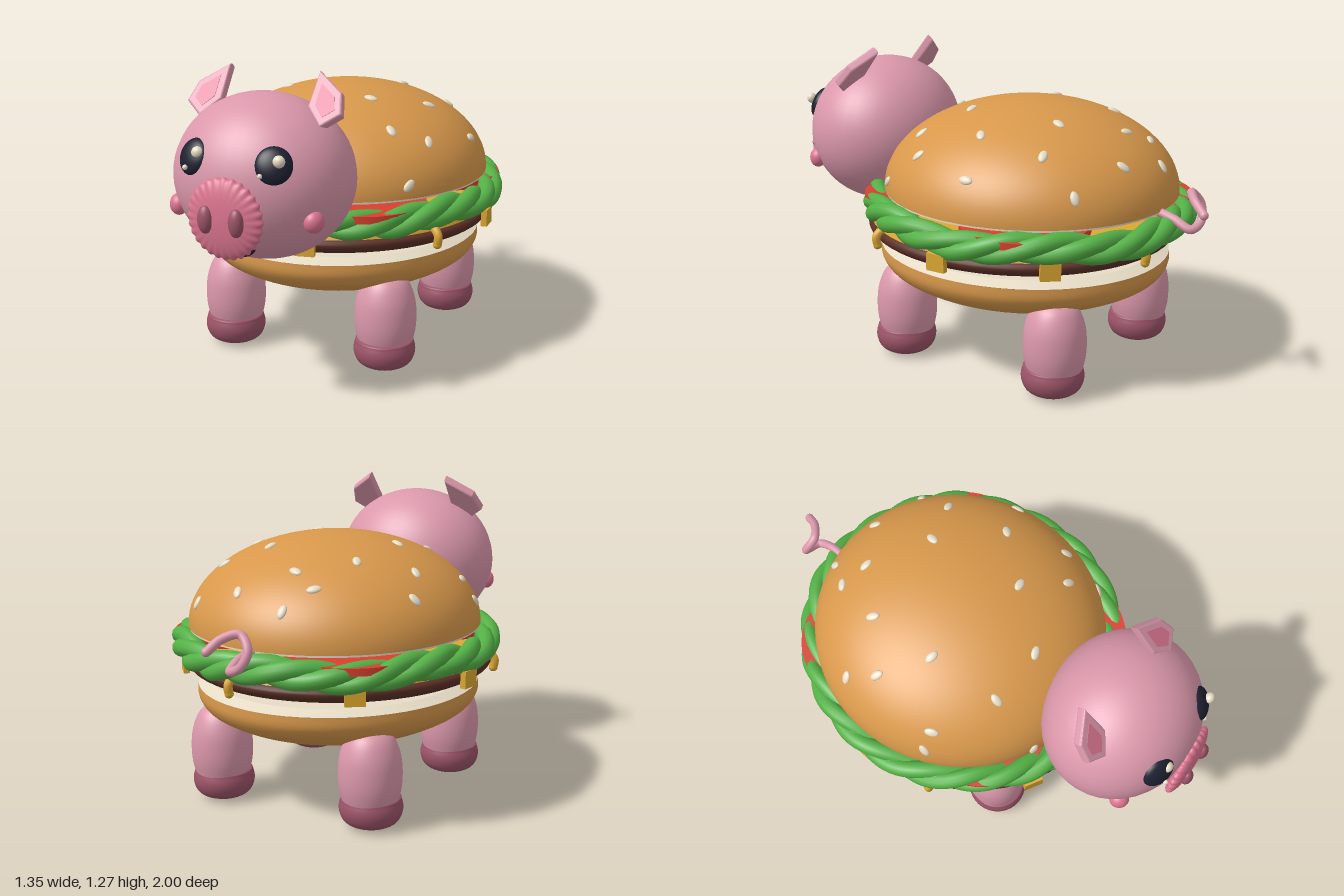
import * as THREE from 'three';

const mat = (name, color) => Object.assign(new THREE.MeshStandardMaterial({ color }), { name });

export function createModel() {
  const model = new THREE.Group();
  model.name = 'burgerPig';
  const pink = mat('skinPink', 0xdb98ab), rose = mat('rosePink', 0xdc7590), hoofM = mat('hoofMauve', 0x9c5468);
  const bunM = mat('bunBrown', 0xd8984b), cream = mat('cream', 0xe6dcc6), pattyM = mat('pattyBrown', 0x5c3026);
  const cheeseM = mat('cheeseYellow', 0xdca632), green = mat('lettuceGreen', 0x54b046);
  const red = mat('tomatoRed', 0xd8402f), black = mat('eyeBlack', 0x1d2030);

  const add = (name, geo, m, x = 0, y = 0, z = 0, parent = model) => {
    const mesh = new THREE.Mesh(geo, m);
    mesh.name = name;
    mesh.position.set(x, y, z);
    parent.add(mesh);
    return mesh;
  };
  const sphere = new THREE.SphereGeometry(1, 40, 28);
  const ball = (name, m, x, y, z, rx, ry, rz) => {
    const b = add(name, sphere, m, x, y, z);
    b.scale.set(rx, ry, rz);
    return b;
  };
  // Smooth revolved shape from [radius, height] pairs, listed bottom to top
  const lathe = (pairs) => {
    const curve = new THREE.SplineCurve(pairs.map(([r, y]) => new THREE.Vector2(r, y)));
    const pts = curve.getPoints(28).map((p) => new THREE.Vector2(Math.max(p.x, 0), p.y));
    return new THREE.LatheGeometry(pts, 64);
  };

  // Top bun with its cut face
  const bun = { y: 0.735, z: -0.155, rx: 0.6, ry: 0.37, rz: 0.625 };
  const dome = add('topBun', new THREE.SphereGeometry(1, 64, 24, 0, Math.PI * 2, 0, Math.PI / 2), bunM, 0, bun.y, bun.z);
  dome.scale.set(bun.rx, bun.ry, bun.rz);
  const cut = add('topBunCutFace', new THREE.CylinderGeometry(0.597, 0.597, 0.008, 64), cream, 0, 0.731, bun.z);
  cut.scale.z = bun.rz / bun.rx;

  // Sesame seeds lying on the dome, as x, z pairs
  const seeds = [
    [-0.09, -0.72], [-0.17, -0.62], [-0.06, -0.57], [0.14, -0.67], [0.38, -0.6], [-0.48, -0.39], [-0.24, -0.41],
    [0.165, -0.39], [0.355, -0.44], [-0.425, -0.27], [0.54, -0.21], [0.37, -0.16], [-0.265, -0.11], [-0.49, 0.03],
    [-0.55, 0.03], [0.18, 0.02], [0.46, 0.08], [-0.26, 0.19], [-0.02, 0.22], [0.33, 0.165], [0.445, 0.255], [-0.29, 0.39],
  ];
  const seedGeo = new THREE.SphereGeometry(1, 14, 10).scale(0.018, 0.011, 0.03);
  const up = new THREE.Vector3(0, 1, 0);
  seeds.forEach(([x, z], i) => {
    const u = x / bun.rx, w = (z - bun.z) / bun.rz;
    const v = Math.sqrt(Math.max(0, 1 - u * u - w * w));
    const seed = add('sesameSeed', seedGeo, cream, x, bun.y + v * bun.ry, z);
    const normal = new THREE.Vector3(u / bun.rx, v / bun.ry, w / bun.rz).normalize();
    seed.quaternion.setFromUnitVectors(up, normal);
    seed.rotateY(i * 2.2);
  });

  // Bottom bun with its cut face
  const bottom = add('bottomBun', lathe([[0, 0.262], [0.22, 0.274], [0.4, 0.312], [0.53, 0.375], [0.575, 0.43], [0.578, 0.485]]), bunM, 0, 0, -0.12);
  bottom.scale.z = 1.085;
  const base = add('bottomBunCutFace', new THREE.CylinderGeometry(0.53, 0.577, 0.02, 64), cream, 0, 0.495, -0.12);
  base.scale.z = 1.085;

  // Patty
  const patty = add('patty', lathe([[0, 0.51], [0.42, 0.512], [0.58, 0.537], [0.632, 0.573], [0.6, 0.606], [0.4, 0.61], [0, 0.61]]), pattyM, 0, 0, -0.11);
  patty.scale.z = 1.045;

  // Cheese sheet with drips folding over the patty edge
  const cheese = add('cheeseSheet', new THREE.CylinderGeometry(0.61, 0.62, 0.022, 64), cheeseM, 0, 0.614, -0.11);
  cheese.scale.z = 1.05;
  [-0.61, 0.2, 1.05, 1.62, 2.3, 2.95, 3.75, 4.55, 5.0].forEach((a, i) => {
    const path = new THREE.CatmullRomCurve3([[0.56, 0.615], [0.62, 0.612], [0.647, 0.585], [0.643, 0.55]].map(
      ([r, y]) => new THREE.Vector3(r * Math.sin(a), y, -0.11 + r * 1.045 * Math.cos(a))));
    if (i % 3 === 2) {
      add('cheeseDrip', new THREE.TubeGeometry(path, 14, 0.018, 10), cheeseM);
      const end = path.getPoint(1);
      ball('cheeseDripTip', cheeseM, end.x, end.y, end.z, 0.018, 0.018, 0.018);
    } else {
      const flap = add('cheeseFlap', new THREE.BoxGeometry(0.08, 0.07, 0.025), cheeseM,
        0.643 * Math.sin(a), 0.578, -0.11 + 0.672 * Math.cos(a));
      flap.rotation.y = a;
    }
  });

  // Lettuce ring of three twisted strands around a core
  const ring = (wind, phase, radius) => {
    const pts = [];
    for (let i = 0; i < 120; i++) {
      const a = (i / 120) * Math.PI * 2, t = a * 7 + phase;
      const off = wind * Math.cos(t);
      pts.push(new THREE.Vector3((0.612 + off) * Math.sin(a),
        0.662 + 0.01 * Math.sin(a * 6 + 1) + wind * Math.sin(t), -0.143 + (0.652 + off) * Math.cos(a)));
    }
    return new THREE.TubeGeometry(new THREE.CatmullRomCurve3(pts, true), 240, radius, 12, true);
  };
  add('lettuceCore', ring(0, 0, 0.042), green);
  for (let k = 0; k < 3; k++) add('lettuceStrand', ring(0.028, (k * Math.PI * 2) / 3, 0.036), green);

  // Tomato slices peeking through the lettuce
  [[-0.5, 0.49], [0.38, 0.6], [-0.4, -0.54], [0.59, -0.36]].forEach(([dx, dz]) => {
    const s = 0.66 / Math.hypot(dx, dz * 0.93) - 0.26 / Math.hypot(dx, dz);
    add('tomatoSlice', new THREE.CylinderGeometry(0.26, 0.26, 0.03, 40), red, dx * s, 0.687, -0.143 + dz * s);
  });

  // Legs and hooves
  const legGeo = lathe([[0.108, 0.1], [0.124, 0.17], [0.127, 0.24], [0.118, 0.31], [0.09, 0.375], [0.045, 0.408], [0, 0.415]]);
  const hoofGeo = lathe([[0, 0.004], [0.06, 0.008], [0.108, 0.032], [0.127, 0.075], [0.122, 0.115], [0.105, 0.131], [0, 0.131]]);
  for (const x of [-0.348, 0.348]) {
    for (const [z, end] of [[0.247, 'front'], [-0.5, 'back']]) {
      add(end + 'Leg', legGeo, pink, x, 0, z);
      add(end + 'Hoof', hoofGeo, hoofM, x, 0, z + 0.008);
    }
  }

  // Head
  ball('head', pink, 0, 0.875, 0.625, 0.358, 0.32, 0.315);

  // Snout with a fluted rim
  const snoutGeo = new THREE.SphereGeometry(1, 168, 32).rotateX(Math.PI / 2);
  const p = snoutGeo.attributes.position;
  for (let i = 0; i < p.count; i++) {
    const r = Math.hypot(p.getX(i), p.getY(i));
    const k = 1 + 0.025 * r ** 4 * Math.cos(28 * Math.atan2(p.getY(i), p.getX(i)));
    p.setXYZ(i, p.getX(i) * k * 0.152, p.getY(i) * k * 0.153, p.getZ(i) * k * 0.04);
  }
  snoutGeo.computeVertexNormals();
  add('snout', snoutGeo, rose, 0, 0.785, 0.938);
  ball('mouth', black, 0, 0.66, 0.875, 0.085, 0.037, 0.045);

  // Ear outline
  const outline = (k) => {
    const pts = [[-0.062, 0.2], [0.045, 0.115], [0.066, 0.03], [0, -0.025], [-0.066, 0.05]];
    return new THREE.Shape(pts.map(([x, y]) => new THREE.Vector2(x * k, 0.06 + (y - 0.06) * k)));
  };
  const earGeo = new THREE.ExtrudeGeometry(outline(0.95), { depth: 0.02, bevelSize: 0.008, bevelThickness: 0.01, bevelSegments: 3 });
  const innerGeo = new THREE.ExtrudeGeometry(outline(0.62), { depth: 0.004, bevelEnabled: false });

  for (const s of [-1, 1]) {
    // Face details
    ball('nostril', hoofM, s * 0.063, 0.785, 0.973, 0.03, 0.053, 0.025);
    ball('cheek', rose, s * 0.284, 0.768, 0.79, 0.04, 0.042, 0.035).rotation.y = s * 0.9;
    const eye = ball('eye', black, s * 0.163, 0.984, 0.868, 0.07, 0.071, 0.036);
    eye.rotation.set(-0.4, s * 0.42, 0, 'YXZ');
    ball('eyeHighlight', cream, s * 0.166 + 0.031, 1.008, 0.893, 0.023, 0.023, 0.02);
    ball('eyeSparkle', cream, s * 0.154 - 0.022, 0.953, 0.915, 0.01, 0.01, 0.01);

    // Ears lean back, tips inward
    const ear = new THREE.Group();
    ear.name = s > 0 ? 'leftEar' : 'rightEar';
    ear.position.set(s * 0.252, 1.1, 0.635);
    ear.rotation.x = -0.68;
    ear.scale.x = s;
    model.add(ear);
    add('earShell', earGeo, pink, 0, 0, 0, ear);
    add('innerEar', innerGeo, rose, 0, 0, 0.028, ear);
  }

  // Curly tail
  const tail = new THREE.CatmullRomCurve3([
    [0.01, 0.73, -0.76], [0.025, 0.715, -0.84], [0.02, 0.685, -0.91], [-0.035, 0.71, -0.925], [-0.06, 0.77, -0.91],
    [-0.015, 0.825, -0.89], [0.04, 0.81, -0.93], [0.07, 0.77, -0.985],
  ].map((v) => new THREE.Vector3(...v)));
  add('tail', new THREE.TubeGeometry(tail, 70, 0.018, 12), pink);
  ball('tailTip', pink, 0.07, 0.77, -0.985, 0.018, 0.018, 0.018);

  return model;
}
